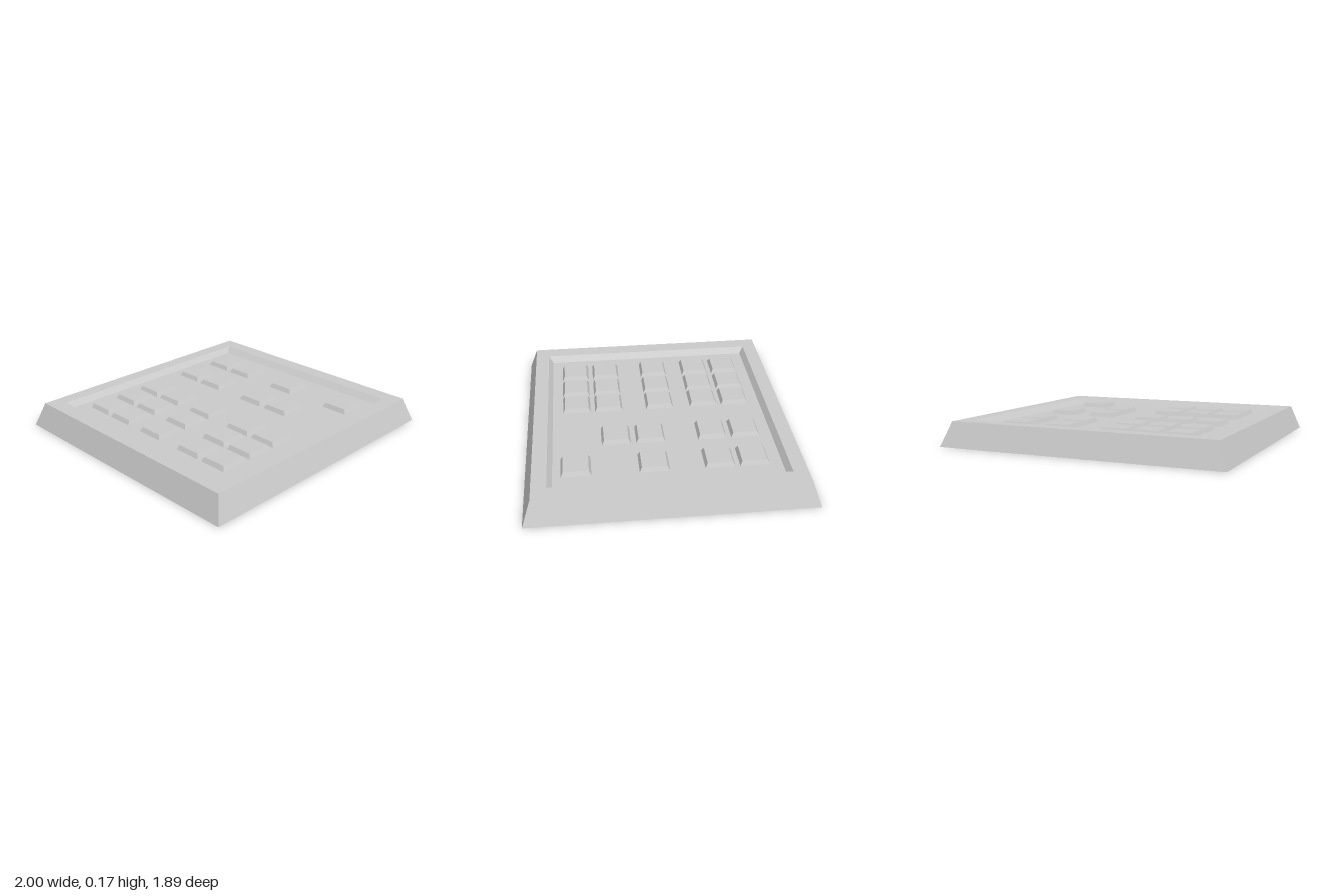
import * as THREE from 'three';

const material = new THREE.MeshStandardMaterial({ color: 0xcccccc, flatShading: true });

// Closed solid through rectangular rings [halfX, y, halfZ], listed from the bottom outwards
function rectLoft(rings) {
  const corners = [[-1, 1], [1, 1], [1, -1], [-1, -1]];
  const positions = rings.flatMap(([hx, y, hz]) => corners.flatMap(([sx, sz]) => [sx * hx, y, sz * hz]));
  const index = [0, 2, 1, 0, 3, 2];
  for (let r = 0; r < rings.length - 1; r++) {
    for (let i = 0; i < 4; i++) {
      const j = (i + 1) % 4;
      const a = r * 4 + i, b = r * 4 + j;
      index.push(a, b, b + 4, a, b + 4, a + 4);
    }
  }
  const t = (rings.length - 1) * 4;
  index.push(t, t + 1, t + 2, t, t + 2, t + 3);
  const indexed = new THREE.BufferGeometry();
  indexed.setAttribute('position', new THREE.Float32BufferAttribute(positions, 3));
  indexed.setIndex(index);
  const geometry = indexed.toNonIndexed();
  geometry.computeVertexNormals();
  return geometry;
}

export function createModel() {
  const model = new THREE.Group();
  const floorY = 0.13;

  // Bevelled housing with a flat rim and a shallow recessed panel
  const housing = new THREE.Mesh(rectLoft([
    [1, 0, 0.945],
    [0.94, 0.17, 0.885],
    [0.83, 0.17, 0.785],
    [0.79, floorY, 0.753],
  ]), material);
  housing.name = 'housing';
  model.add(housing);

  // Tapered square buttons, laid out column by column
  const buttonGeometry = rectLoft([[0.099, 0, 0.099], [0.084, 0.03, 0.084]]);
  const blockRows = [-0.57, -0.34, -0.02, 0.35, 0.58];
  const columns = [
    [-0.596, blockRows],
    [-0.367, blockRows],
    [-0.146, blockRows],
    [0.267, [-0.57, -0.34, 0.085, 0.32]],
    [0.59, [-0.57, -0.34, 0.09, 0.6]],
  ];
  const buttons = new THREE.Group();
  buttons.name = 'buttons';
  for (const [x, rows] of columns) {
    for (const z of rows) {
      const button = new THREE.Mesh(buttonGeometry, material);
      button.name = 'button';
      button.position.set(x, floorY, z);
      buttons.add(button);
    }
  }
  model.add(buttons);
  return model;
}
